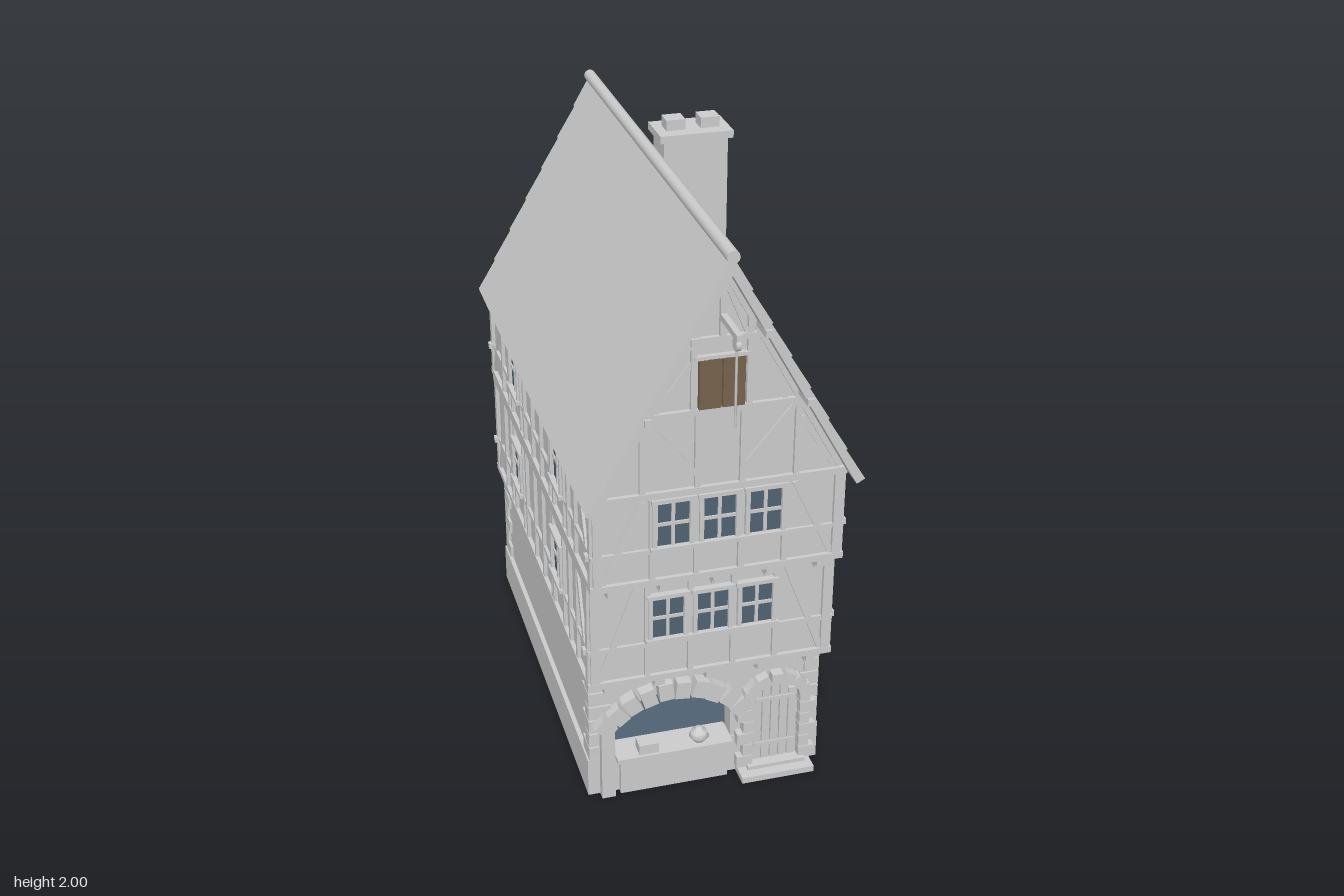
import * as THREE from 'three';

const mat = (name, color) => Object.assign(new THREE.MeshStandardMaterial({ color }), { name });

export function createModel() {
  const house = new THREE.Group();
  house.name = 'timberHouse';
  const grey = mat('pale grey', 0xcccccc);
  const glass = mat('slate blue glass', 0x4f6272);
  const wood = mat('brown shutter', 0x77634d);

  const add = (parent, name, geo, m = grey) => {
    const mesh = new THREE.Mesh(geo, m);
    mesh.name = name;
    parent.add(mesh);
    return mesh;
  };
  // Box given by its minimum and maximum on each axis
  const box = (parent, name, x0, x1, y0, y1, z0, z1, m) => {
    const b = add(parent, name, new THREE.BoxGeometry(x1 - x0, y1 - y0, z1 - z0), m);
    b.position.set((x0 + x1) / 2, (y0 + y1) / 2, (z0 + z1) / 2);
    return b;
  };
  // Timber running between two points on a wall plane
  const beam = (wall, u0, v0, u1, v1, w = 0.018, d = 0.012) => {
    const len = Math.hypot(u1 - u0, v1 - v0);
    const b = add(wall, 'timber', new THREE.BoxGeometry(len, w, d + 0.01));
    b.position.set((u0 + u1) / 2, (v0 + v1) / 2, (d - 0.01) / 2);
    b.rotation.z = Math.atan2(v1 - v0, u1 - u0);
  };
  const wallPlane = (name, x, z, turn) => {
    const g = new THREE.Group();
    g.name = name;
    g.position.set(x, 0, z);
    g.rotation.y = turn;
    house.add(g);
    return g;
  };
  // Glazed window with frame, sill and cross bars
  const windowAt = (wall, u, v0, v1, w) => {
    const h = w / 2, mid = (v0 + v1) / 2;
    box(wall, 'windowGlass', u - h, u + h, v0, v1, 0.001, 0.008, glass);
    for (const s of [-1, 1]) beam(wall, u + s * h, v0, u + s * h, v1, 0.014, 0.02);
    beam(wall, u - h - 0.012, v1, u + h + 0.012, v1, 0.014, 0.022);
    beam(wall, u - h - 0.015, v0, u + h + 0.015, v0, 0.014, 0.026);
    beam(wall, u, v0, u, v1, 0.011, 0.013);
    beam(wall, u - h, mid, u + h, mid, 0.011, 0.013);
  };

  // Ground floor: solid rear, side walls and a pierced front
  const X = 0.38, backZ = -0.745, frontZ = 0.6;
  box(house, 'groundFloorRear', -X, X, 0.14, 0.47, backZ, 0.18);
  for (const s of [-1, 1]) box(house, 'groundFloorSide', s * 0.37 - 0.01, s * 0.37 + 0.01, 0.14, 0.47, 0.18, frontZ);
  box(house, 'plinth', -0.395, 0.395, 0, 0.14, -0.76, 0.605);
  const cx = -0.11, cy = 0.093, R = 0.27, half = 0.2;
  const a0 = Math.acos(half / R);
  const front = new THREE.Shape([[-X, 0.14], [X, 0.14], [X, 0.47], [-X, 0.47]].map(p => new THREE.Vector2(...p)));
  const hole = new THREE.Path();
  hole.moveTo(cx - half, 0.145);
  hole.lineTo(cx + half, 0.145);
  hole.absarc(cx, cy, R, a0, Math.PI - a0, false);
  hole.closePath();
  front.holes.push(hole);
  const fw = add(house, 'shopFrontWall', new THREE.ExtrudeGeometry(front, { depth: 0.06, bevelEnabled: false }));
  fw.position.z = frontZ - 0.06;
  // Shop interior
  box(house, 'shopFloor', -0.36, 0.13, 0.141, 0.148, 0.18, 0.54, glass);
  box(house, 'shopSideLeft', 0.125, 0.132, 0.14, 0.47, 0.18, 0.54, glass);
  box(house, 'shopSideRight', -0.362, -0.355, 0.14, 0.47, 0.18, 0.54, glass);

  // Shop arch stones, jamb and counter
  for (let i = 0; i < 10; i++) {
    const a = a0 - 0.05 + (Math.PI - 2 * a0 + 0.1) * i / 9;
    const r = R + 0.022 + (i % 2) * 0.006;
    const st = add(house, 'archStone', new THREE.BoxGeometry(0.048, 0.062, 0.06));
    st.position.set(cx + r * Math.cos(a), cy + r * Math.sin(a), 0.608 + (i % 2) * 0.004);
    st.rotation.z = a - Math.PI / 2;
  }
  box(house, 'shopJamb', -0.355, -0.31, 0, 0.285, 0.57, 0.635);
  box(house, 'counter', -0.29, 0.075, 0, 0.14, 0.56, 0.625);
  box(house, 'counterTop', -0.305, 0.085, 0.14, 0.156, 0.54, 0.65);
  box(house, 'breadBox', -0.23, -0.165, 0.156, 0.192, 0.59, 0.64);
  const pot = add(house, 'pot', new THREE.LatheGeometry([[0, 0], [0.02, 0], [0.033, 0.018], [0.026, 0.036],
    [0.012, 0.042], [0.012, 0.05], [0, 0.052]].map(p => new THREE.Vector2(...p)), 14));
  pot.position.set(-0.02, 0.156, 0.61);

  // Door with planks, stone surround and steps
  const dx = 0.24;
  for (let i = 0; i < 5; i++) {
    const x = dx - 0.075 + i * 0.03, top = 0.345 - 0.012 * Math.abs(i - 2) ** 1.7;
    box(house, 'doorPlank', x + 0.002, x + 0.028, 0.03, top, 0.59, 0.614);
  }
  for (const y of [0.09, 0.27]) box(house, 'doorStrap', dx - 0.07, dx + 0.07, y, y + 0.014, 0.6, 0.618);
  for (const s of [-1, 1]) for (let i = 0; i < 6; i++) {
    const out = i % 2 ? 0.115 : 0.135;
    const xs = [dx + s * 0.08, dx + s * out].sort((a, b) => a - b);
    box(house, 'doorJambStone', xs[0], xs[1], 0.028 + i * 0.046, 0.071 + i * 0.046, 0.58, 0.635);
  }
  for (let i = 0; i < 7; i++) {
    const a = 0.25 + (Math.PI - 0.5) * i / 6;
    const st = add(house, 'doorArchStone', new THREE.BoxGeometry(0.038, 0.04, 0.05));
    st.position.set(dx + 0.098 * Math.cos(a), 0.288 + 0.075 * Math.sin(a), 0.61);
    st.rotation.z = a - Math.PI / 2;
  }
  box(house, 'doorStep', dx - 0.13, dx + 0.12, 0, 0.022, 0.58, 0.685);
  box(house, 'doorSill', dx - 0.1, dx + 0.1, 0.022, 0.036, 0.58, 0.65);

  // Corner quoins
  for (const sx of [-1, 1]) for (const sz of [-1, 1]) for (let i = 0; i < 6; i++) {
    const lx = i % 2 ? 0.075 : 0.05, lz = i % 2 ? 0.05 : 0.085;
    const q = add(house, 'quoin', new THREE.BoxGeometry(lx, 0.048, lz));
    q.position.set(sx * (0.39 - lx / 2), 0.167 + i * 0.0535, (sz > 0 ? 0.608 : -0.753) - sz * lz / 2);
  }

  // Timber-framed storeys
  const W = 0.39;
  const storeys = [
    { y0: 0.47, y1: 0.865, rail: 0.607, zf: 0.66, zb: -0.79, w0: 0.625, w1: 0.785, wz: [0.25, -0.38] },
    { y0: 0.865, y1: 1.19, rail: 0.985, zf: 0.715, zb: -0.82, w0: 0.995, w1: 1.16, wz: [0.28, -0.385] },
  ];
  const wallFrame = (wall, u0, u1, { y0, y1, rail }) => {
    beam(wall, u0 - 0.012, y0 + 0.01, u1 + 0.012, y0 + 0.01, 0.022, 0.014);
    beam(wall, u0 - 0.012, y1 - 0.012, u1 + 0.012, y1 - 0.012, 0.022, 0.014);
    beam(wall, u0 - 0.012, rail, u1 + 0.012, rail, 0.016, 0.01);
    for (const u of [u0 + 0.01, u1 - 0.01]) beam(wall, u, y0, u, y1, 0.028, 0.013);
    beam(wall, u0 + 0.025, y0 + 0.025, u0 + 0.15, y1 - 0.03, 0.02, 0.009);
    beam(wall, u1 - 0.025, y0 + 0.025, u1 - 0.15, y1 - 0.03, 0.02, 0.009);
  };
  for (const s of storeys) {
    const { y0, y1, rail, zf, zb } = s;
    box(house, 'plasterStorey', -W, W, y0, y1, zb, zf);
    const f = wallPlane('frontFrame', 0, zf, 0), b = wallPlane('backFrame', 0, zb, Math.PI);
    for (const wall of [f, b]) {
      wallFrame(wall, -W, W, s);
      // Jetty brackets beneath the overhang
      for (const u of [-0.335, -0.17, 0, 0.17, 0.335]) {
        box(wall, 'bracket', u - 0.016, u + 0.016, y0 - 0.022, y0, -0.06, 0.012);
        box(wall, 'bracketFoot', u - 0.012, u + 0.012, y0 - 0.044, y0 - 0.022, -0.06, -0.015);
      }
    }
    for (const u of [-0.21, 0.21]) beam(f, u, y0, u, y1);
    for (const u of [-0.07, 0.07]) beam(f, u, y0, u, y1);
    for (const u of [-0.145, 0, 0.145]) windowAt(f, u, s.w0, s.w1, 0.115);
    for (const u of [-0.23, -0.115, 0, 0.115, 0.23]) beam(b, u, y0, u, y1);
    // Side walls, mirrored
    for (const side of [-1, 1]) {
      const wall = wallPlane(side > 0 ? 'leftFrame' : 'rightFrame', side * W, 0, side * Math.PI / 2);
      const us = [-side * zf, -side * zb].sort((p, q) => p - q);
      wallFrame(wall, us[0], us[1], s);
      for (const z of [0.51, 0.41, 0.15, 0.016, -0.117, -0.25, -0.51, -0.62]) beam(wall, -side * z, y0, -side * z, y1);
      for (const z of s.wz) {
        windowAt(wall, -side * z, s.w0, s.w1, 0.135);
        for (const d of [-0.075, 0.075]) beam(wall, -side * z + d, y0, -side * z + d, y1, 0.016);
      }
      // Projecting ends of the mid rail
      for (const z of [zf - 0.015, zb + 0.015]) box(wall, 'railEnd', -side * z - 0.012, -side * z + 0.012, rail - 0.01, rail + 0.01, 0, 0.024);
    }
  }

  // Gable body and its timbers
  const gable = new THREE.Shape([[-W, 1.18], [W, 1.18], [W, 1.2], [0, 1.9], [-W, 1.2]].map(p => new THREE.Vector2(...p)));
  add(house, 'gableWalls', new THREE.ExtrudeGeometry(gable, { depth: 1.535, bevelEnabled: false })).position.z = -0.82;
  for (const [z, turn] of [[0.715, 0], [-0.82, Math.PI]]) {
    const g = wallPlane('gableFrame', 0, z, turn);
    beam(g, -0.26, 1.44, 0.26, 1.44, 0.02, 0.014);
    beam(g, -0.125, 1.67, 0.125, 1.67, 0.018, 0.014);
    beam(g, 0, 1.67, 0, 1.9, 0.018, 0.014);
    for (const s of [-1, 1]) {
      beam(g, s * 0.38, 1.2, s * 0.005, 1.88, 0.022, 0.014);
      beam(g, s * 0.24, 1.18, s * 0.24, 1.45);
      beam(g, s * 0.07, 1.18, s * 0.07, 1.44);
      beam(g, s * 0.235, 1.43, s * 0.07, 1.23, 0.016, 0.009);
      beam(g, s * 0.36, 1.2, s * 0.25, 1.38, 0.016, 0.009);
      beam(g, s * 0.085, 1.44, s * 0.085, 1.73);
      beam(g, s * 0.2, 1.45, s * 0.09, 1.6, 0.016, 0.009);
      beam(g, s * 0.075, 1.68, s * 0.01, 1.84, 0.014, 0.009);
      box(g, 'shutter', s > 0 ? 0.002 : -0.07, s > 0 ? 0.07 : -0.002, 1.45, 1.61, 0, 0.016, wood);
    }
    beam(g, -0.085, 1.615, 0.085, 1.615, 0.012, 0.016);
  }
  for (const s of [-1, 1]) for (const [x, y] of [[0.11, 1.71], [0.245, 1.473]])
    box(house, 'purlin', s * x - 0.011, s * x + 0.011, y - 0.011, y + 0.011, -0.88, 0.815);

  // Roof slopes with shallow overlapping courses
  const ang = Math.atan(1.797), c = Math.cos(ang), sn = Math.sin(ang), L = 0.885, N = 7;
  const at = (d, n) => [d * c + n * sn, 1.96 - d * sn + n * c];
  const prof = [[0, 1.955]];
  for (let i = 0; i < N; i++) {
    if (i) prof.push(at(L * i / N, -0.005));
    prof.push(at(L * (i + 1) / N, 0));
  }
  prof.push(at(L, -0.03), [0, 1.898]);
  for (const s of [-1, 1]) {
    const shape = new THREE.Shape(prof.map(([x, y]) => new THREE.Vector2(s * x, y)));
    add(house, 'roofSlope', new THREE.ExtrudeGeometry(shape, { depth: 1.675, bevelEnabled: false })).position.z = -0.87;
  }
  const ridge = add(house, 'ridge', new THREE.CylinderGeometry(0.02, 0.02, 1.68, 12));
  ridge.rotation.x = Math.PI / 2;
  ridge.position.set(0, 1.955, -0.03);

  // Chimney with cap and pots
  box(house, 'chimney', 0.075, 0.29, 1.535, 1.945, -0.295, -0.17);
  box(house, 'chimneyCap', 0.06, 0.305, 1.94, 1.965, -0.31, -0.157);
  for (const x of [0.125, 0.24]) box(house, 'chimneyPot', x - 0.032, x + 0.032, 1.965, 2, -0.267, -0.205);

  // Hoist over the loft shutters
  box(house, 'hoistBeam', -0.009, 0.009, 1.73, 1.75, 0.7, 0.88);
  const pulley = add(house, 'pulley', new THREE.CylinderGeometry(0.02, 0.02, 0.014, 14));
  pulley.rotation.z = Math.PI / 2;
  pulley.position.set(0, 1.712, 0.855);
  add(house, 'rope', new THREE.CylinderGeometry(0.004, 0.004, 0.26, 6)).position.set(0, 1.58, 0.855);
  return house;
}
